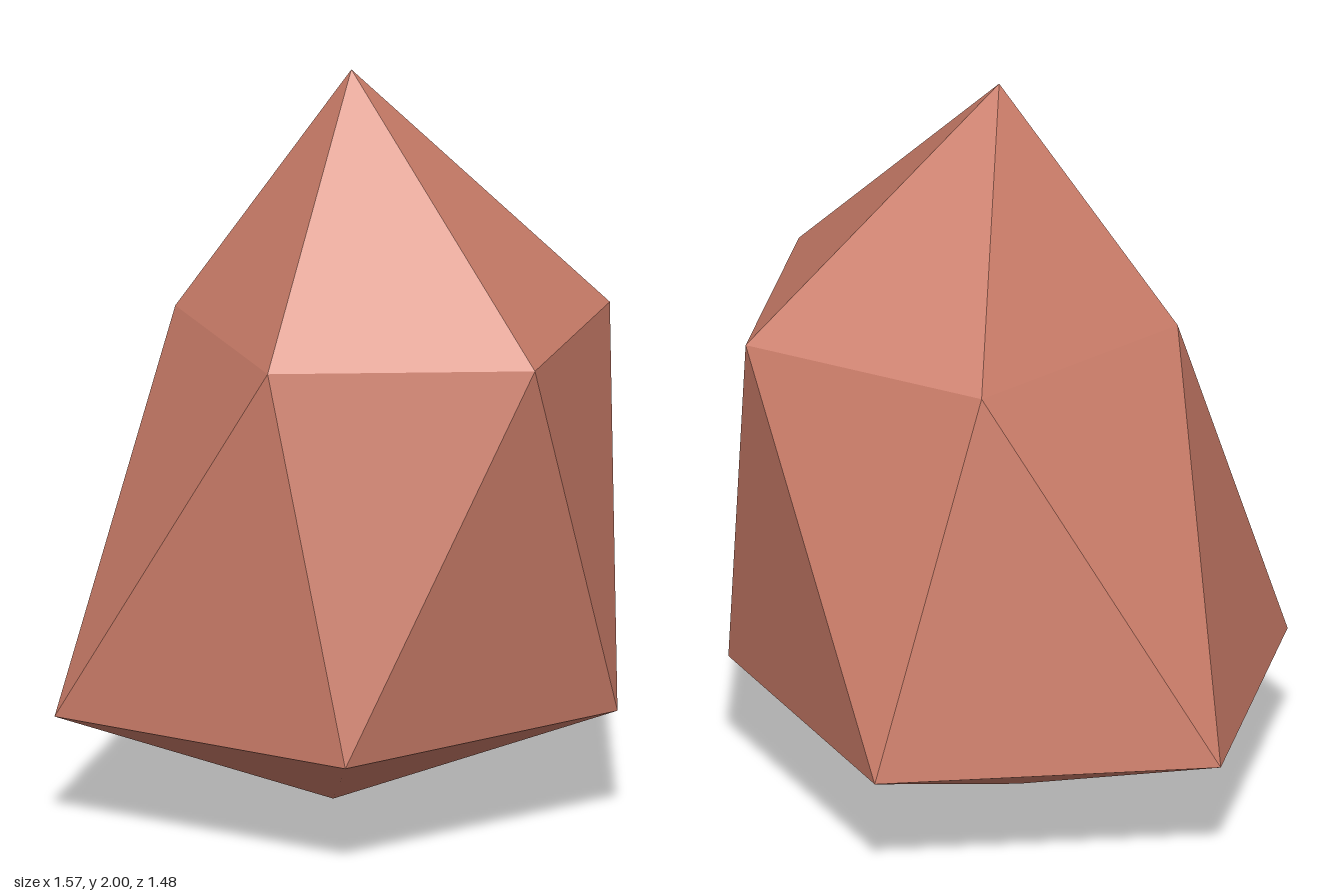
import * as THREE from 'three';

// Faceted crystal rock: two offset five-point rings capped by a peak and a base point
export function createModel() {
  const group = new THREE.Group();
  group.name = 'rock';

  const ring = (y, points) => points.map(([x, z]) => [x, y, z]);
  const peak = [0.05, 2, 0];
  const base = [-0.01, 0, 0.01];
  const upper = ring(1.33, [[0.78, 0.01], [0.33, 0.55], [-0.33, 0.28], [-0.28, -0.42], [0.41, -0.59]]);
  const lower = ring(0.3, [[0.59, 0.51], [-0.3, 0.735], [-0.785, -0.04], [-0.195, -0.74], [0.65, -0.4]]);

  // Each step round the rings adds a peak facet, two side facets and a base facet
  const positions = [];
  const facet = (...corners) => positions.push(...corners.flat());
  for (let i = 0; i < 5; i++) {
    const n = (i + 1) % 5;
    facet(peak, upper[n], upper[i]);
    facet(upper[i], upper[n], lower[i]);
    facet(lower[i], upper[n], lower[n]);
    facet(base, lower[i], lower[n]);
  }

  const geometry = new THREE.BufferGeometry();
  geometry.setAttribute('position', new THREE.Float32BufferAttribute(positions, 3));
  geometry.computeVertexNormals();

  const terracotta = new THREE.MeshStandardMaterial({ color: 0xcd7e6a });
  terracotta.name = 'terracotta';
  terracotta.flatShading = true;

  const body = new THREE.Mesh(geometry, terracotta);
  body.name = 'facetedBody';
  group.add(body);
  return group;
}
